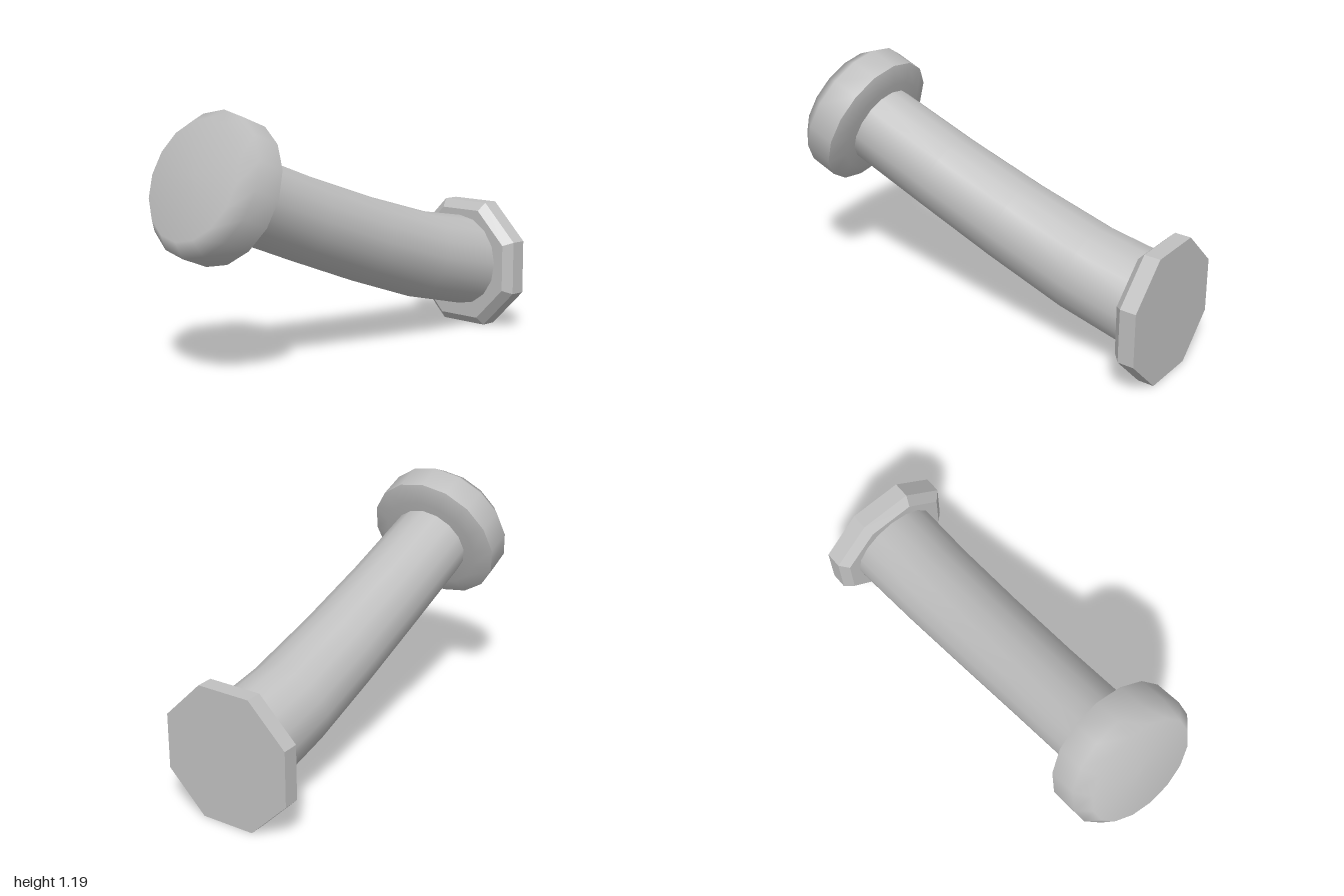
import * as THREE from 'three';
import { mergeVertices } from 'three/addons/utils/BufferGeometryUtils.js';

const SIDES = 16;
const profile = (pts) => pts.map(([r, a]) => new THREE.Vector2(r, a));

// Bevelled octagonal wall plate, facing +z, with hard edges
function createPlate(material) {
  const k = 1 / Math.cos(Math.PI / 8);
  const pts = profile([[0, 0], [0.32 * k, 0], [0.32 * k, 0.08], [0.28 * k, 0.12], [0, 0.12]]);
  const geo = new THREE.LatheGeometry(pts, 8, Math.PI / 8).toNonIndexed();
  geo.computeVertexNormals();
  const plate = new THREE.Mesh(geo, material);
  plate.name = 'wallPlate';
  plate.rotation.x = Math.PI / 2;
  plate.position.set(0, 0.32, -1);
  return plate;
}

// Tapered arm that curves upward: rings given as [z, y, radius, tilt]
function createArm(material) {
  const rings = [
    [-0.94, 0.325, 0.23, 0.2],
    [-0.54, 0.405, 0.218, 0.27],
    [-0.14, 0.527, 0.208, 0.325],
    [0.26, 0.665, 0.2, 0.355],
    [0.71, 0.832, 0.196, 0.365],
  ];
  let geo = new THREE.CylinderGeometry(1, 1, rings.length - 1, SIDES, rings.length - 1, true);
  const pos = geo.attributes.position;
  for (let i = 0; i < pos.count; i++) {
    const [z, y, r, tilt] = rings[Math.round(pos.getY(i) + (rings.length - 1) / 2)];
    const across = -pos.getZ(i) * r;
    pos.setXYZ(i, pos.getX(i) * r, y + across * Math.cos(tilt), z - across * Math.sin(tilt));
  }
  geo.deleteAttribute('uv');
  geo.deleteAttribute('normal');
  geo = mergeVertices(geo, 1e-4);
  geo.computeVertexNormals();
  const arm = new THREE.Mesh(geo, material);
  arm.name = 'arm';
  return arm;
}

// Rounded knob at the tip, with a sharp rim at the back
function createKnob(material) {
  const knob = new THREE.Group();
  knob.name = 'knob';
  const parts = {
    knobBack: [[0, -0.24], [0.25, -0.24], [0.338, -0.205]],
    knobFront: [[0.338, -0.205], [0.338, -0.065], [0.28, 0], [0, 0.003]],
  };
  for (const [name, pts] of Object.entries(parts)) {
    const mesh = new THREE.Mesh(new THREE.LatheGeometry(profile(pts), SIDES), material);
    mesh.name = name;
    knob.add(mesh);
  }
  knob.rotation.x = Math.PI / 2 - 0.367;
  knob.position.set(0, 0.9, 0.9);
  return knob;
}

export function createModel() {
  const grey = new THREE.MeshStandardMaterial({ color: 0xc0c0c0 });
  grey.name = 'lightGrey';
  const model = new THREE.Group();
  model.name = 'wallPeg';
  model.add(createPlate(grey), createArm(grey), createKnob(grey));
  return model;
}
